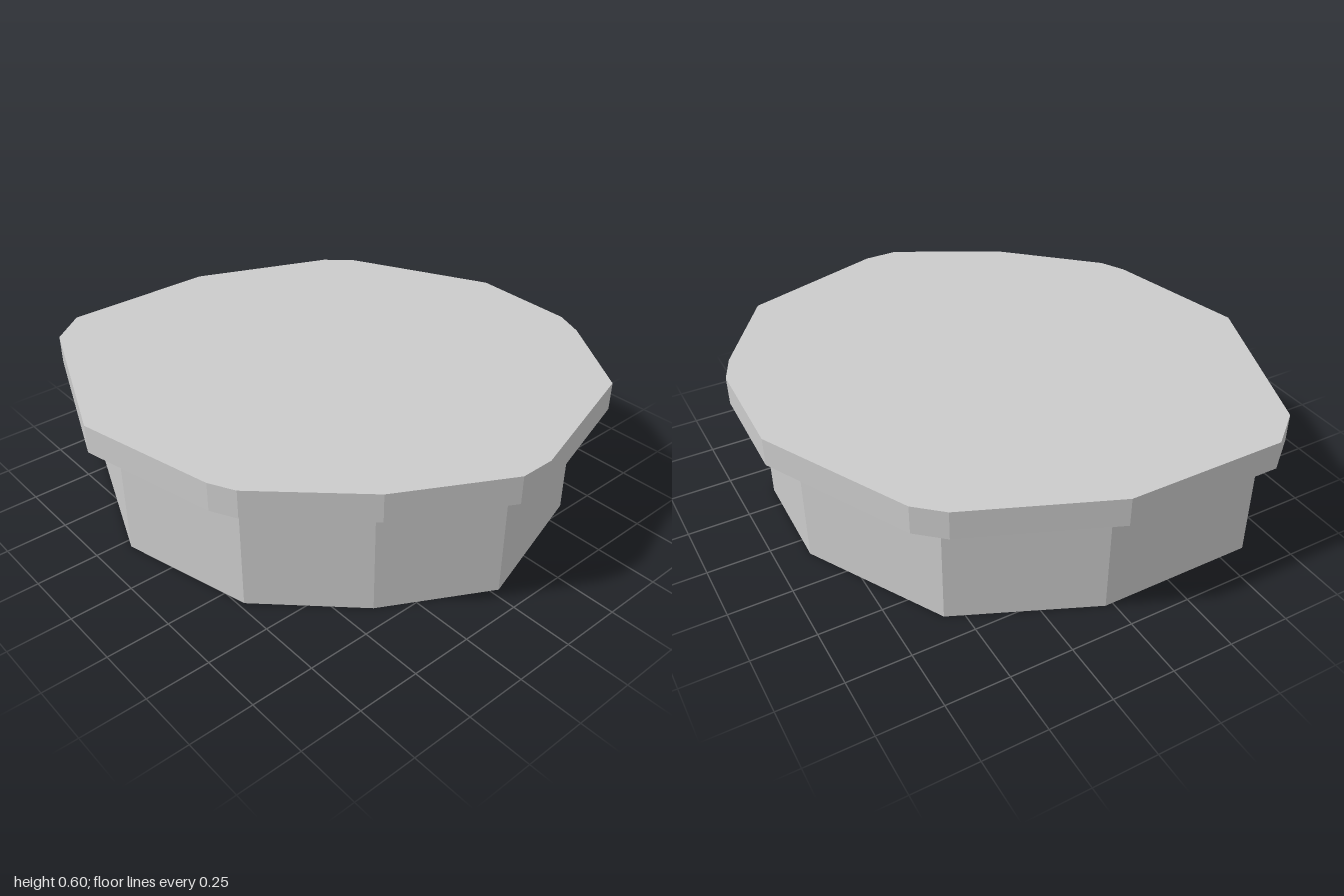
import * as THREE from 'three';

// Outlines as [x, z] corners, seen from above
const rimOutline = [
  [-0.1, -0.99], [0.34, -0.98], [0.46, -0.93], [0.82, -0.69], [1, -0.11],
  [1, 0.03], [0.77, 0.45], [0.44, 0.8], [0.34, 0.85], [-0.23, 0.98],
  [-0.89, 0.72], [-1, 0.58], [-1, -0.05], [-0.77, -0.6], [-0.68, -0.7],
];
const bodyOutline = [
  [-0.09, -0.87], [0.35, -0.86], [0.72, -0.61], [0.9, -0.03], [0.67, 0.39],
  [0.34, 0.73], [-0.21, 0.87], [-0.88, 0.61], [-0.88, -0.03], [-0.64, -0.57],
];

// Upright prism from an outline, between two heights
function prism(name, outline, bottom, top, material) {
  const shape = new THREE.Shape(outline.map(([x, z]) => new THREE.Vector2(x, -z)));
  const geometry = new THREE.ExtrudeGeometry(shape, { depth: top - bottom, bevelEnabled: false });
  geometry.rotateX(-Math.PI / 2).translate(0, bottom, 0);
  const mesh = new THREE.Mesh(geometry, material);
  mesh.name = name;
  return mesh;
}

export function createModel() {
  const model = new THREE.Group();
  model.name = 'facetedPlatform';
  const grey = new THREE.MeshStandardMaterial({ color: 0xcccccc, flatShading: true });

  // Ten-sided body with a wider slab on top
  model.add(prism('body', bodyOutline, 0, 0.485, grey));
  model.add(prism('topSlab', rimOutline, 0.485, 0.6, grey));
  return model;
}
